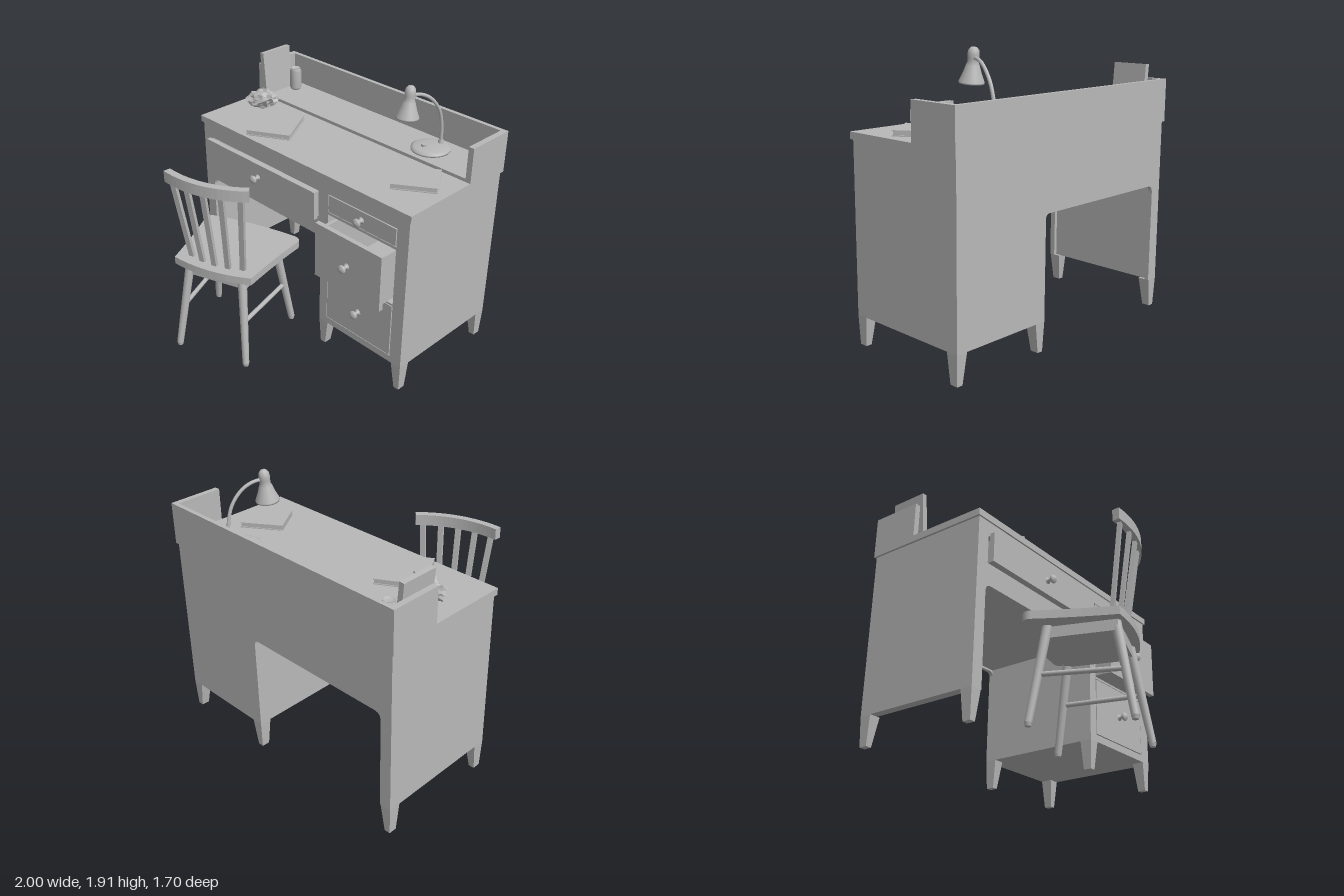
import * as THREE from 'three';

const grey = new THREE.MeshStandardMaterial({ color: 0xb8b8b8 });
grey.name = 'plainGrey';
const greyTwoSided = new THREE.MeshStandardMaterial({ color: 0xb8b8b8, side: THREE.DoubleSide });
greyTwoSided.name = 'plainGreyTwoSided';

function add(parent, name, geo, x = 0, y = 0, z = 0, mat = grey) {
  const m = new THREE.Mesh(geo, mat);
  m.name = name;
  m.position.set(x, y, z);
  parent.add(m);
  return m;
}

// Box given by its limits on each axis
function block(parent, name, x0, x1, y0, y1, z0, z1) {
  return add(parent, name, new THREE.BoxGeometry(x1 - x0, y1 - y0, z1 - z0),
    (x0 + x1) / 2, (y0 + y1) / 2, (z0 + z1) / 2);
}

function group(parent, name) {
  const g = new THREE.Group();
  g.name = name;
  parent.add(g);
  return g;
}

const lathe = (pts, seg = 24) =>
  new THREE.LatheGeometry(pts.map(p => new THREE.Vector2(p[0], p[1])), seg);

// Round rod between two points
function rod(parent, name, a, b, rTop, rBottom) {
  const d = new THREE.Vector3().subVectors(b, a);
  const m = add(parent, name, new THREE.CylinderGeometry(rTop, rBottom, d.length(), 14));
  m.position.copy(a).addScaledVector(d, 0.5);
  m.quaternion.setFromUnitVectors(new THREE.Vector3(0, 1, 0), d.normalize());
}

// Short desk foot that keeps its outer corner and tapers on the inner sides
function taperedFoot(parent, xOut, zOut, dx, dz) {
  const geo = new THREE.BoxGeometry(0.08, 0.2, 0.085);
  const p = geo.attributes.position;
  for (let i = 0; i < p.count; i++) {
    const low = p.getY(i) < 0;
    const inX = p.getX(i) * dx > 0, inZ = p.getZ(i) * dz > 0;
    p.setX(i, xOut + dx * (inX ? (low ? 0.05 : 0.08) : (low ? 0.008 : 0)));
    p.setZ(i, zOut + dz * (inZ ? (low ? 0.065 : 0.085) : (low ? 0.008 : 0)));
    p.setY(i, low ? 0 : 0.2);
  }
  geo.computeVertexNormals();
  add(parent, 'deskFoot', geo);
}

// Upright sheet with the knee opening, optionally pierced for drawers
function kneeholeSheet(holes, depth) {
  const s = new THREE.Shape();
  s.moveTo(-0.985, 0.2); s.lineTo(-0.9, 0.2); s.lineTo(-0.9, 0.85);
  s.quadraticCurveTo(-0.895, 0.895, -0.85, 0.895);
  s.lineTo(0.195, 0.895);
  s.quadraticCurveTo(0.23, 0.895, 0.23, 0.86);
  s.lineTo(0.23, 0.2); s.lineTo(0.985, 0.2); s.lineTo(0.985, 1.34); s.lineTo(-0.985, 1.34);
  for (const [x0, x1, y0, y1] of holes) {
    const h = new THREE.Path();
    h.moveTo(x0, y0); h.lineTo(x0, y1); h.lineTo(x1, y1); h.lineTo(x1, y0); h.closePath();
    s.holes.push(h);
  }
  return new THREE.ExtrudeGeometry(s, { depth, bevelEnabled: false, curveSegments: 6 });
}

// Drawer front, open tray and round knob; z is the front face
function drawer(parent, name, x0, x1, y0, y1, z, knobY) {
  const g = group(parent, name);
  const a = x0 + 0.025, b = x1 - 0.025, top = y1 - 0.03, back = z - 0.7;
  block(g, 'drawerFront', x0, x1, y0, y1, z - 0.035, z);
  block(g, 'drawerBottom', a, b, y0 + 0.015, y0 + 0.03, back, z - 0.035);
  block(g, 'drawerSide', a, a + 0.025, y0 + 0.015, top, back, z - 0.035);
  block(g, 'drawerSide', b - 0.025, b, y0 + 0.015, top, back, z - 0.035);
  block(g, 'drawerBack', a, b, y0 + 0.015, top, back - 0.02, back);
  const knob = lathe([[0.024, 0], [0.013, 0.012], [0.012, 0.028], [0.028, 0.038],
    [0.031, 0.048], [0.024, 0.059], [0, 0.064]], 18);
  add(g, 'knob', knob, (x0 + x1) / 2, knobY, z).rotation.x = Math.PI / 2;
}

function buildDesk(root) {
  const g = group(root, 'desk');
  const holes = [[-0.89, 0.21, 1.045, 1.24], [0.3, 0.89, 1.115, 1.25],
    [0.3, 0.89, 0.675, 1.095], [0.3, 0.89, 0.25, 0.66]];
  add(g, 'frontFrame', kneeholeSheet(holes, 0.04), 0, 0, 0.033);
  add(g, 'backPanel', kneeholeSheet([], 0.03), 0, 0, -0.845);
  block(g, 'rightSidePanel', -0.985, -0.925, 0.2, 1.34, -0.815, 0.033);
  block(g, 'leftSidePanel', 0.94, 0.985, 0.2, 1.34, -0.815, 0.033);
  block(g, 'pedestalInnerPanel', 0.23, 0.27, 0.2, 1.34, -0.815, 0.033);
  block(g, 'pedestalBottom', 0.27, 0.94, 0.2, 0.225, -0.815, 0.033);
  block(g, 'kneeholeCeiling', -0.925, 0.23, 0.91, 0.93, -0.815, 0.033);
  for (const [x, dx] of [[-0.985, 1], [0.23, 1], [0.985, -1]])
    for (const [z, dz] of [[0.073, -1], [-0.845, 1]]) taperedFoot(g, x, z, dx, dz);
  block(g, 'deskTop', -1, 1, 1.34, 1.387, -0.855, 0.085);
  // Raised shelf with its low gallery
  block(g, 'rearShelf', -1, 1, 1.387, 1.41, -0.855, -0.49);
  block(g, 'galleryBack', -1, 1, 1.41, 1.635, -0.855, -0.825);
  for (const s of [-1, 1])
    block(g, 'gallerySide', s * 0.98 - 0.02, s * 0.98 + 0.02, 1.41, 1.635, -0.825, -0.49);
  drawer(g, 'wideDrawer', -0.895, 0.22, 1.04, 1.245, 0.125, 1.142);
  drawer(g, 'topDrawer', 0.306, 0.884, 1.12, 1.244, 0.075, 1.18);
  drawer(g, 'middleDrawer', 0.306, 0.884, 0.68, 1.09, 0.2, 0.885);
  drawer(g, 'bottomDrawer', 0.306, 0.884, 0.256, 0.655, 0.075, 0.452);
}

function buildChair(root) {
  const g = group(root, 'chair');
  g.position.set(-0.29, 0, 0.44);
  g.rotation.y = 0.35;
  const V = (x, y, z) => new THREE.Vector3(x, y, z);
  // Seat, wider at the front with rounded corners
  const s = new THREE.Shape();
  s.moveTo(-0.3, 0.245);
  s.quadraticCurveTo(-0.33, -0.05, -0.38, -0.29);
  s.quadraticCurveTo(-0.385, -0.34, -0.33, -0.35);
  s.quadraticCurveTo(0, -0.39, 0.33, -0.35);
  s.quadraticCurveTo(0.385, -0.34, 0.38, -0.29);
  s.quadraticCurveTo(0.33, -0.05, 0.3, 0.245);
  s.quadraticCurveTo(0, 0.33, -0.3, 0.245);
  const seat = new THREE.ExtrudeGeometry(s, { depth: 0.055, bevelEnabled: false, curveSegments: 10 });
  add(g, 'seat', seat, 0, 0.708, 0).rotation.x = Math.PI / 2;
  block(g, 'seatApron', -0.24, 0.24, 0.58, 0.655, -0.24, 0.22);
  // Splayed legs, foot tips and side stretchers
  for (const side of [-1, 1]) {
    const at = [];
    for (const [topX, topZ, footX, footZ] of [[0.24, -0.22, 0.315, -0.31], [0.205, 0.2, 0.27, 0.31]]) {
      const foot = V(side * footX, 0.02, footZ), top = V(side * topX, 0.66, topZ);
      rod(g, 'chairLeg', foot, top, 0.032, 0.024);
      add(g, 'footTip', new THREE.CylinderGeometry(0.024, 0.019, 0.026, 14), foot.x, 0.013, foot.z);
      at.push(foot.clone().lerp(top, 0.485));
    }
    rod(g, 'stretcher', at[0], at[1], 0.016, 0.016);
  }
  // Curved top rail
  const r = new THREE.Shape();
  r.moveTo(-0.315, 0.262); r.quadraticCurveTo(0, 0.395, 0.315, 0.262);
  r.lineTo(0.295, 0.215); r.quadraticCurveTo(0, 0.34, -0.295, 0.215);
  const rail = new THREE.ExtrudeGeometry(r, { depth: 0.08, bevelEnabled: false, curveSegments: 16 });
  add(g, 'backRail', rail, 0, 1.385, 0).rotation.x = Math.PI / 2;
  // Five slats leaning back
  for (let i = -2; i <= 2; i++) {
    const k = i / 2;
    const a = V(k * 0.2, 0.7, 0.21 - 0.035 * k * k), b = V(k * 0.255, 1.32, 0.3 - 0.045 * k * k);
    const d = b.clone().sub(a);
    const slat = add(g, 'backSlat', new THREE.BoxGeometry(0.038, d.length(), 0.026));
    slat.position.copy(a).addScaledVector(d, 0.5);
    slat.quaternion.setFromUnitVectors(V(0, 1, 0), d.normalize());
  }
}

function buildLamp(root) {
  const g = group(root, 'deskLamp');
  add(g, 'lampBase', lathe([[0, 0], [0.135, 0], [0.135, 0.012], [0.115, 0.025], [0.05, 0.032], [0, 0.034]], 36),
    0.54, 1.41, -0.66);
  add(g, 'lampButton', new THREE.CylinderGeometry(0.018, 0.018, 0.02, 14), 0.52, 1.446, -0.61);
  const path = new THREE.CatmullRomCurve3([[0.565, 1.43, -0.735], [0.566, 1.58, -0.725], [0.56, 1.7, -0.69],
    [0.54, 1.79, -0.62], [0.515, 1.83, -0.55], [0.49, 1.84, -0.475]].map(p => new THREE.Vector3(...p)));
  add(g, 'lampArm', new THREE.TubeGeometry(path, 28, 0.012, 10));
  add(g, 'armSocket', new THREE.CylinderGeometry(0.016, 0.022, 0.035, 14), 0.565, 1.447, -0.735);
  const shade = lathe([[0, 0.025], [0.04, 0.022], [0.079, 0], [0.079, 0.01], [0.058, 0.06], [0.042, 0.11],
    [0.034, 0.128], [0.036, 0.15], [0.037, 0.175], [0.033, 0.2], [0.02, 0.217], [0, 0.222]], 28);
  add(g, 'lampShade', shade, 0.485, 1.685, -0.455, greyTwoSided).rotation.x = -0.1;
}

function buildDeskItems(root) {
  const g = group(root, 'deskItems');
  // Books with covers slightly larger than the pages
  for (const [x, z, w, d, turn] of [[-0.467, -0.172, 0.315, 0.36, 0.51], [0.742, -0.266, 0.3, 0.257, 0.583]]) {
    const b = group(g, 'book');
    b.position.set(x, 1.387, z);
    b.rotation.y = turn;
    add(b, 'backCover', new THREE.BoxGeometry(w, 0.006, d), 0, 0.003, 0);
    add(b, 'pages', new THREE.BoxGeometry(w - 0.012, 0.026, d - 0.012), 0, 0.019, 0);
    add(b, 'frontCover', new THREE.BoxGeometry(w, 0.006, d), 0, 0.035, 0);
    add(b, 'spine', new THREE.BoxGeometry(0.006, 0.038, d), -w / 2 + 0.003, 0.019, 0);
  }
  // Upright book leaning on the gallery side
  const upright = add(g, 'leaningBook', new THREE.BoxGeometry(0.036, 0.32, 0.265), -0.929, 1.572, -0.603);
  upright.rotation.z = 0.095;
  // Drink can
  add(g, 'can', lathe([[0, 0.006], [0.03, 0.006], [0.034, 0], [0.043, 0.015], [0.043, 0.145], [0.036, 0.166],
    [0.034, 0.17], [0.032, 0.162], [0, 0.162]], 24), -0.84, 1.41, -0.72);
  // Crumpled paper ball, creased by a position-based rule
  const geo = new THREE.IcosahedronGeometry(1, 3);
  const p = geo.attributes.position;
  const v = new THREE.Vector3();
  for (let i = 0; i < p.count; i++) {
    v.fromBufferAttribute(p, i);
    const h = Math.sin(v.x * 7.1 + v.y * 4.3) * Math.cos(v.z * 6.7 - v.x * 3.1) + 0.5 * Math.sin(v.y * 11 + v.z * 9);
    v.multiplyScalar(0.83 + 0.16 * h);
    p.setXYZ(i, v.x * 0.135, v.y * 0.08 + v.x * 0.025, v.z * 0.1 - v.x * 0.025);
  }
  geo.computeVertexNormals();
  add(g, 'crumpledPaper', geo, -0.77, 1.467, -0.32);
}

export function createModel() {
  const root = new THREE.Group();
  root.name = 'deskAndChair';
  buildDesk(root);
  buildChair(root);
  buildLamp(root);
  buildDeskItems(root);
  return root;
}
